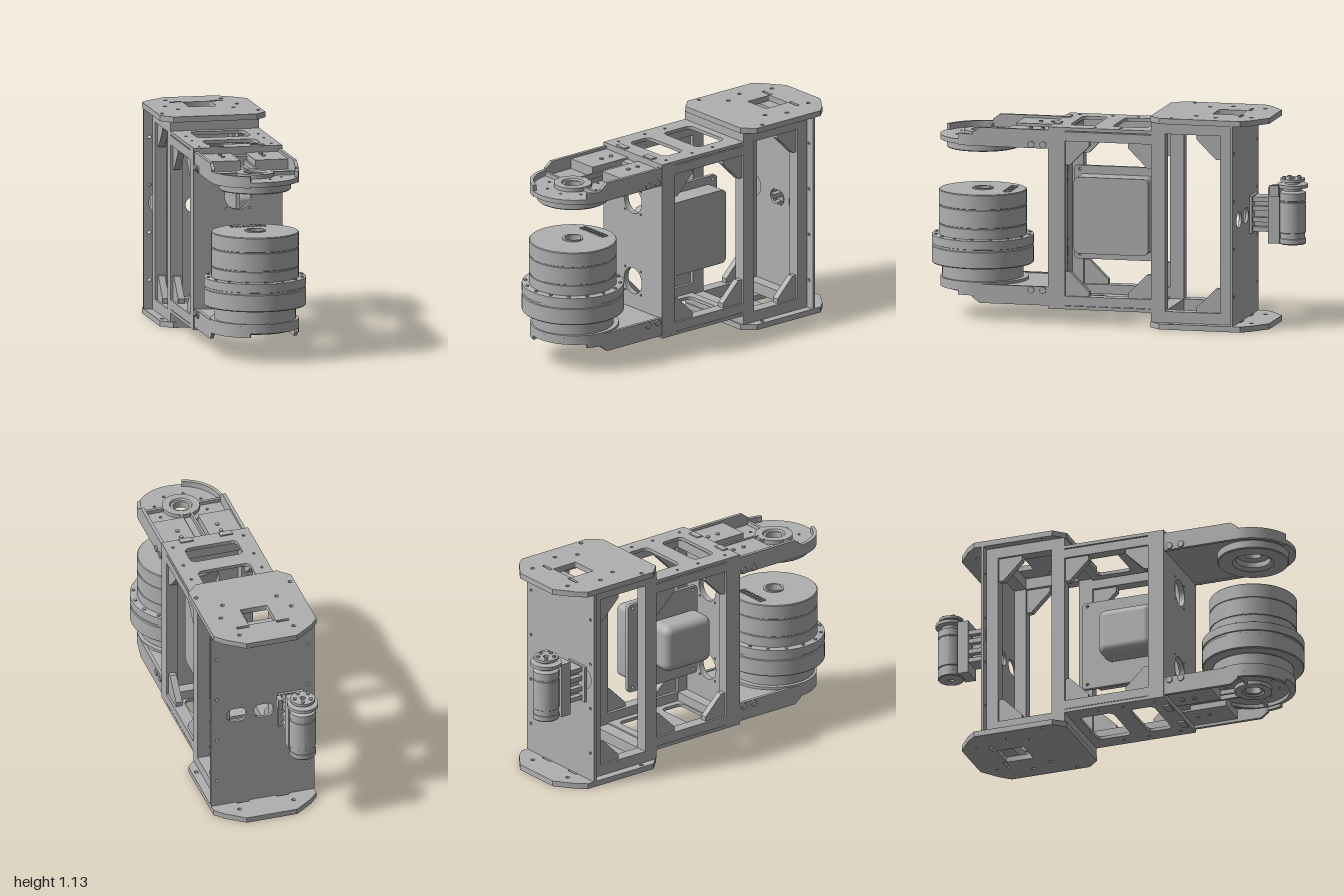
import * as THREE from 'three';
import { toCreasedNormals } from 'three/addons/utils/BufferGeometryUtils.js';
import { RoundedBoxGeometry } from 'three/addons/geometries/RoundedBoxGeometry.js';

export function createModel() {
  const model = new THREE.Group();
  model.name = 'jointModule';
  const grey = new THREE.MeshStandardMaterial({ color: 0xb0b0b0 });
  grey.name = 'machined grey';

  const add = (name, geo, parent = model) => {
    const m = new THREE.Mesh(geo, grey);
    m.name = name;
    parent.add(m);
    return m;
  };
  // box given by its limits
  const box = (name, x0, x1, y0, y1, z0, z1, parent) =>
    add(name, new THREE.BoxGeometry(x1 - x0, y1 - y0, z1 - z0)
      .translate((x0 + x1) / 2, (y0 + y1) / 2, (z0 + z1) / 2), parent);
  const poly = pts => new THREE.Shape(pts.map(p => new THREE.Vector2(...p)));
  const circle = (x, y, r) => new THREE.Path().absarc(x, y, r, 0, Math.PI * 2, true);
  const roundRect = (x0, x1, y0, y1, r, P = THREE.Path) => {
    const p = new P();
    p.absarc(x1 - r, y1 - r, r, 0, Math.PI / 2);
    p.absarc(x0 + r, y1 - r, r, Math.PI / 2, Math.PI);
    p.absarc(x0 + r, y0 + r, r, Math.PI, Math.PI * 1.5);
    p.absarc(x1 - r, y0 + r, r, Math.PI * 1.5, Math.PI * 2);
    p.closePath();
    return p;
  };
  const extrude = (shape, depth) => toCreasedNormals(
    new THREE.ExtrudeGeometry(shape, { depth, bevelEnabled: false, curveSegments: 24 }), 0.5);
  // horizontal plate: shape drawn in (x, z), from y0 to y1
  const slab = (name, shape, y0, y1, parent) =>
    add(name, extrude(shape, y1 - y0).rotateX(Math.PI / 2).translate(0, y1, 0), parent);
  // side plate: shape drawn in (z, y), from x0 to x1
  const sidePlate = (name, shape, x0, x1, parent) =>
    add(name, extrude(shape, x1 - x0).rotateY(-Math.PI / 2).translate(x1, 0, 0), parent);
  // turned part from a closed (radius, y) profile
  const turned = (name, pts, x, z, parent) =>
    add(name, toCreasedNormals(new THREE.LatheGeometry(
      [...pts, pts[0]].map(p => new THREE.Vector2(...p)), 64), 0.5).translate(x, 0, z), parent);
  const sides = [-1, 1];
  const MID = 0.565;

  // ---- rear box: end plates
  for (const [name, y0, y1] of [['topEndPlate', 1.1, 1.13], ['bottomEndPlate', 0, 0.03]]) {
    const s = poly([[-0.14, -0.863], [0.14, -0.863], [0.24, -0.79], [0.285, -0.74], [0.285, -0.3],
      [0.225, -0.237], [-0.225, -0.237], [-0.285, -0.3], [-0.285, -0.74], [-0.24, -0.79]]);
    s.holes.push(roundRect(-0.075, 0.075, -0.69, -0.54, 0.005));
    for (const k of sides) {
      s.holes.push(roundRect(k * 0.11 - 0.035, k * 0.11 + 0.035, -0.712, -0.695, 0.004));
      for (const [x, z] of [[0.15, -0.77], [0.15, -0.47], [0.195, -0.585], [0.26, -0.36]])
        s.holes.push(circle(k * x, z, 0.011));
    }
    slab(name, s, y0, y1);
  }
  // rear box: back plate with service openings
  const back = poly([[-0.287, 0.03], [0.287, 0.03], [0.287, 1.1], [-0.287, 1.1]]);
  back.holes.push(roundRect(0.09, 0.2, 0.54, 0.62, 0.038), roundRect(-0.06, 0.05, 0.54, 0.62, 0.038),
    circle(-0.2, 0.6, 0.06));
  for (const k of sides)
    for (const y of [0.185, 0.44, 0.695, 0.95]) back.holes.push(circle(k * 0.255, y, 0.008));
  add('backPlate', extrude(back, 0.015).translate(0, 0, -0.7));

  // rear box: posts and rails
  for (const k of sides) {
    const a = k > 0 ? 0.175 : -0.24, b = a + 0.065;
    box('rearFramePost', a, b, 0.03, 1.1, -0.685, -0.62);
    box('rearFramePost', a, b, 0.03, 1.1, -0.32, -0.245);
    box('frontFramePost', a, b, 0.09, 1.04, 0.225, 0.285);
    for (const y of [0.03, 1.04]) box('rearSideRail', a, b, y, y + 0.06, -0.62, -0.32);
    for (const y of [0.1, 0.98]) box('middleSideRail', a, b, y, y + 0.05, -0.245, 0.225);
  }
  for (const y of [0.03, 1.04]) {
    box('rearCrossRail', -0.175, 0.175, y, y + 0.06, -0.685, -0.62);
    box('rearCrossRail', -0.175, 0.175, y, y + 0.06, -0.32, -0.245);
  }
  for (const y of [0.1, 0.98]) box('frontCrossRail', -0.175, 0.175, y, y + 0.05, 0.225, 0.285);

  // corner gussets: corner (z, y), direction of the legs
  const gusset = (z, y, dz, dy) => {
    const pts = [[0, 0], [0.13, 0], [0.13, 0.025], [0.025, 0.13], [0, 0.13]]
      .map(([u, v]) => [z + u * dz, y + v * dy]);
    for (const k of sides) {
      const x = k * 0.21;
      sidePlate('cornerGusset', poly(pts), x - 0.018, x + 0.018);
    }
  };
  for (const [y, dy] of [[0.98, -1], [0.15, 1]]) {
    gusset(0.225, y, -1, dy);
    gusset(-0.245, y, 1, dy);
  }
  for (const [y, dy] of [[1.04, -1], [0.09, 1]]) gusset(-0.62, y, 1, dy);

  // ---- middle frame: upper and lower plates with windows
  for (const y of [1.035, 0.08]) {
    const s = poly([[-0.24, -0.245], [0.24, -0.245], [0.24, 0.315], [-0.24, 0.315]]);
    s.holes.push(roundRect(-0.145, 0.145, -0.2, -0.01, 0.03), roundRect(-0.145, 0.145, 0.085, 0.22, 0.03));
    for (const k of sides)
      for (const z of [-0.07, 0.07, 0.25]) s.holes.push(circle(k * 0.195, z, 0.008));
    slab('middleFramePlate', s, y, y + 0.018);
  }
  // front wall
  const wall = poly([[-0.24, 0.098], [0.24, 0.098], [0.24, 1.035], [-0.24, 1.035]]);
  for (const y of [0.79, 0.34]) {
    wall.holes.push(circle(0, y, 0.072));
    for (const k of sides)
      for (const d of sides) wall.holes.push(circle(k * 0.065, y + d * 0.065, 0.006));
  }
  add('frontWall', extrude(wall, 0.03).translate(0, 0, 0.285));

  // electronics housing inside the middle frame
  const flange = roundRect(-0.24, 0.225, 0.32, 0.82, 0.02, THREE.Shape);
  for (const z of [-0.21, 0.195]) for (const y of [0.345, 0.8]) flange.holes.push(circle(z, y, 0.008));
  sidePlate('housingFlange', flange, 0.01, 0.03);
  sidePlate('housingCover', roundRect(-0.205, 0.2, 0.365, 0.775, 0.03, THREE.Shape), 0.03, 0.145);
  add('housingBody', new RoundedBoxGeometry(0.16, 0.26, 0.31, 4, 0.045).translate(-0.065, 0.57, 0.055));

  // ---- fork arms, upper one mirrored for the lower
  const Z = 0.73;
  const buildArm = name => {
    const arm = new THREE.Group();
    arm.name = name;
    const base = new THREE.Shape();
    base.moveTo(-0.235, 0.315);
    base.lineTo(0.235, 0.315);
    base.lineTo(0.235, 0.72);
    base.absarc(0, 0.72, 0.235, 0, Math.PI);
    base.closePath();
    base.holes.push(circle(0, Z, 0.055));
    for (let i = 0; i < 8; i++) {
      const t = (i + 0.5) * Math.PI / 4;
      base.holes.push(circle(0.14 * Math.cos(t), Z + 0.14 * Math.sin(t), 0.008));
    }
    slab('armPlate', base, 0.375, 0.4, arm);
    // side walls and bolts
    for (const k of sides) {
      const a = k > 0 ? 0.217 : -0.235;
      sidePlate('armSideWall', poly([[0.315, 0.37], [0.73, 0.37], [0.73, 0.44], [0.69, 0.47], [0.315, 0.47]]),
        a, a + 0.018, arm);
      for (const z of [0.345, 0.41]) {
        add('armBolt', new THREE.CylinderGeometry(0.018, 0.018, 0.012, 20)
          .rotateZ(Math.PI / 2).translate(k * 0.237, 0.39, z), arm);
      }
      // raised pads with small clamps at the root
      box('armPad', k > 0 ? 0.04 : -0.217, k > 0 ? 0.217 : -0.04, 0.4, 0.455, 0.315, 0.56, arm);
      box('rootClamp', k * 0.11 - 0.035, k * 0.11 + 0.035, 0.47, 0.495, 0.275, 0.31, arm);
      for (const z of [0.375, 0.44])
        add('padScrew', new THREE.CylinderGeometry(0.011, 0.011, 0.008, 16).translate(k * 0.11, 0.458, z), arm);
      box('crossRib', k > 0 ? 0.09 : -0.217, k > 0 ? 0.217 : -0.09, 0.4, 0.42, Z - 0.008, Z + 0.008, arm);
    }
    box('rootBridge', -0.04, 0.04, 0.4, 0.445, 0.315, 0.36, arm);
    for (const x of [-0.035, 0.023]) box('lengthRib', x, x + 0.012, 0.4, 0.425, 0.36, Z - 0.085, arm);
    // partial rim round the nose
    const rim = (from, to) => {
      const s = new THREE.Shape();
      s.absarc(0, 0.72, 0.235, from, to);
      s.absarc(0, 0.72, 0.215, to, from, true);
      s.closePath();
      slab('noseRim', s, 0.37, 0.432, arm);
    };
    rim(Math.PI * 0.6, Math.PI);
    rim(0, Math.PI * 0.13);
    // bearing hub
    turned('bearingHub', [[0.042, 0.375], [0.1, 0.375], [0.1, 0.422], [0.06, 0.422], [0.055, 0.412], [0.042, 0.412]],
      0, Z, arm);
    arm.position.y = MID;
    model.add(arm);
    return arm;
  };
  buildArm('upperArm');
  buildArm('lowerArm').scale.y = -1;

  // bearing ring below the upper arm
  turned('bearingRing', [[0.09, 0.91], [0.11, 0.895], [0.185, 0.895], [0.19, 0.9], [0.19, 0.94], [0.09, 0.94]], 0, Z);

  // ---- joint drive, turned in one stack with a through bore
  turned('jointDrive', [[0.042, 0.19], [0.215, 0.19], [0.215, 0.27], [0.205, 0.272], [0.205, 0.278],
    [0.265, 0.278], [0.27, 0.283], [0.27, 0.367], [0.264, 0.37], [0.264, 0.38], [0.27, 0.382], [0.27, 0.428],
    [0.265, 0.43], [0.232, 0.43], [0.232, 0.484], [0.229, 0.486], [0.229, 0.49], [0.232, 0.492],
    [0.232, 0.584], [0.229, 0.586], [0.229, 0.59], [0.232, 0.592], [0.232, 0.666], [0.228, 0.67], [0.042, 0.67]], 0, Z);
  turned('lowerJointRing', [[0.2, 0.145], [0.235, 0.155], [0.235, 0.205], [0.2, 0.205]], 0, Z - 0.01);
  turned('boreCollar', [[0.042, 0.668], [0.055, 0.668], [0.055, 0.677], [0.042, 0.677]], 0, Z);
  for (let i = 0; i < 9; i++) box('ventFin', -0.1 + i * 0.022, -0.088 + i * 0.022, 0.668, 0.675, 0.56, 0.6);
  for (let i = 0; i < 16; i++) {
    const t = i * Math.PI / 8;
    add('flangeScrew', new THREE.CylinderGeometry(0.009, 0.009, 0.008, 12)
      .translate(0.252 * Math.cos(t), 0.432, Z + 0.252 * Math.sin(t)));
  }

  // ---- small rear motor with bracket
  const mx = -0.153, mz = -0.918;
  turned('rearMotor', [[0.015, 0.415], [0.066, 0.415], [0.07, 0.42], [0.07, 0.445], [0.066, 0.447], [0.066, 0.475],
    [0.07, 0.478], [0.07, 0.64], [0.067, 0.642], [0.067, 0.648], [0.07, 0.65], [0.07, 0.69], [0.05, 0.7],
    [0.05, 0.715], [0.082, 0.717], [0.082, 0.735], [0.04, 0.737], [0.04, 0.748], [0.065, 0.75], [0.065, 0.765],
    [0.015, 0.765]], mx, mz);
  for (let i = 0; i < 5; i++) {
    const t = i * Math.PI * 0.4;
    add('pulleyScrew', new THREE.CylinderGeometry(0.01, 0.01, 0.012, 12)
      .translate(mx + 0.045 * Math.cos(t), 0.768, mz + 0.045 * Math.sin(t)));
  }
  box('motorBracket', mx - 0.06, mx + 0.06, 0.42, 0.72, -0.86, -0.8);
  box('bracketTab', -0.06, -0.035, 0.68, 0.74, -0.87, -0.82);
  for (const y of [0.48, 0.53, 0.59, 0.64]) box('bracketArm', mx - 0.05, mx + 0.05, y, y + 0.025, -0.8, -0.7);
  box('bracketSpine', mx - 0.02, mx + 0.02, 0.48, 0.665, -0.79, -0.7);
  box('bracketFoot', mx - 0.07, mx + 0.07, 0.47, 0.67, -0.715, -0.7);
  return model;
}
